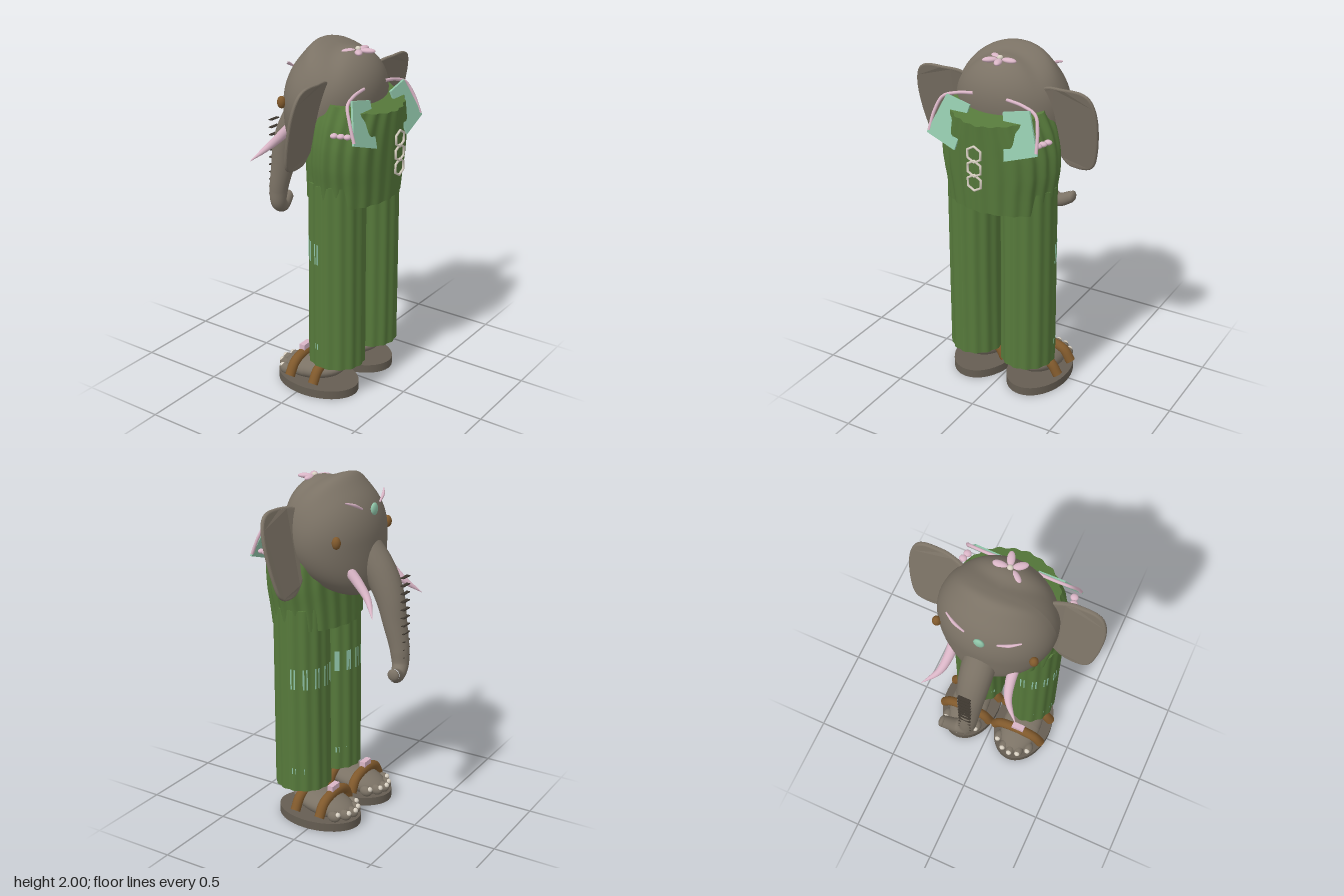
import * as THREE from 'three';

const mat = (name, color, side = THREE.FrontSide) => {
  const m = new THREE.MeshStandardMaterial({ color, side });
  m.name = name;
  return m;
};

export function createModel() {
  const model = new THREE.Group();
  model.name = 'elephantInOveralls';
  const skin = mat('grey skin', 0x7b7265);
  const sole = mat('dark sole', 0x655d52);
  const cloth = mat('green cloth', 0x56793b, THREE.DoubleSide);
  const mint = mat('mint', 0x8fc4a8, THREE.DoubleSide);
  const pink = mat('pink', 0xd9b5c6);
  const leather = mat('brown leather', 0x80592c);
  const cream = mat('cream', 0xd8d0c2);
  const wrinkleDark = mat('dark wrinkle', 0x3d372f);
  const V = (x, y, z) => new THREE.Vector3(x, y, z);

  const add = (name, geo, material, parent = model) => {
    const m = new THREE.Mesh(geo, material);
    m.name = name;
    parent.add(m);
    return m;
  };
  const ball = (name, material, p, r, parent) => {
    const m = add(name, new THREE.SphereGeometry(1, 24, 16), material, parent);
    m.position.set(...p);
    m.scale.set(...r);
    return m;
  };
  // Moves every vertex by a rule and refreshes the normals
  const deform = (geo, rule) => {
    const pos = geo.attributes.position, v = V(0, 0, 0);
    for (let i = 0; i < pos.count; i++) {
      rule(v.fromBufferAttribute(pos, i));
      pos.setXYZ(i, v.x, v.y, v.z);
    }
    geo.computeVertexNormals();
    return geo;
  };
  const lerpList = (list, t) => {
    const f = t * (list.length - 1), i = Math.min(Math.floor(f), list.length - 2);
    return THREE.MathUtils.lerp(list[i], list[i + 1], f - i);
  };
  // Tube along points whose radius follows a list
  const taperedTube = (points, radii, segs = 40, sides = 20) => {
    const curve = new THREE.CatmullRomCurve3(points.map(p => V(...p)));
    const geo = new THREE.TubeGeometry(curve, segs, 1, sides);
    const pos = geo.attributes.position, v = V(0, 0, 0);
    for (let i = 0; i < pos.count; i++) {
      const t = Math.floor(i / (sides + 1)) / segs, c = curve.getPointAt(t);
      v.fromBufferAttribute(pos, i).sub(c).multiplyScalar(lerpList(radii, t)).add(c);
      pos.setXYZ(i, v.x, v.y, v.z);
    }
    return geo;
  };
  const flip = (pts, s) => pts.map(([x, y, z]) => [x * s, y, z]);

  // Head: egg with a forehead crest and a chin pushed forward
  add('head', deform(new THREE.SphereGeometry(1, 64, 48), v => {
    v.set(v.x * 0.325, v.y * 0.33, v.z * 0.26 + 0.025);
    const up = Math.max(0, (v.y - 0.1) / 0.23), zc = v.z - 1.5 * v.x * v.x;
    if (v.y < 0) v.z -= 1.2 * v.y * v.y;
    else if (v.z > 0) v.z *= 1 + 0.7 * v.y;
    v.y += 1.67 + up * (0.025 * Math.exp(-(((zc + 0.07) / 0.05) ** 2)) - 0.022 * Math.exp(-(((zc - 0.06) / 0.05) ** 2)));
  }), skin);
  ball('foreheadGem', mint, [0, 1.825, -0.21], [0.03, 0.035, 0.015]);

  // Trunk with its tip curled sideways
  add('trunk', taperedTube([[0, 1.62, -0.15], [0, 1.48, -0.255], [0, 1.35, -0.315], [0, 1.2, -0.35], [0, 1.06, -0.38],
    [0.01, 0.97, -0.39], [0.06, 0.935, -0.4], [0.14, 0.965, -0.42]],
    [0.09, 0.092, 0.088, 0.08, 0.07, 0.06, 0.052, 0.042, 0.034], 60), skin);
  ball('trunkTip', skin, [0.14, 0.965, -0.42], [0.02, 0.034, 0.034]);
  for (let i = 0; i < 11; i++)
    add('trunkWrinkle', new THREE.BoxGeometry(0.07, 0.005, 0.022), wrinkleDark).position.set(0, 1.48 - i * 0.045, -0.405 - i * 0.001);

  // Flower on the head
  const flower = new THREE.Group();
  flower.name = 'headFlower';
  flower.position.set(0, 1.96, 0.165);
  model.add(flower);
  for (let i = 0; i < 5; i++) {
    const a = 0.3 + (i * Math.PI * 2) / 5;
    ball('petal', pink, [Math.sin(a) * 0.053, 0, -Math.cos(a) * 0.053], [0.021, 0.014, 0.042], flower).rotation.y = -a;
  }
  ball('flowerCentre', cream, [0, 0.008, 0], [0.016, 0.014, 0.016], flower);

  // Pleated shirt, leaning back towards the top
  const shirtWidth = [0.305, 0.318, 0.338, 0.338, 0.315, 0.265];
  add('shirt', deform(new THREE.CylinderGeometry(1, 1, 1, 168, 14), v => {
    const t = v.y + 0.5, a = Math.atan2(v.x, v.z);
    const pleat = 1 + 0.022 * Math.cos(a * 21) + 0.008 * Math.cos(a * 8);
    v.x *= lerpList(shirtWidth, t) * pleat;
    v.z = v.z * (0.222 + 0.012 * t) * pleat + 0.15 + 0.025 * t;
    v.y = THREE.MathUtils.lerp(1.165, 1.735 - 0.24 * (v.z - 0.155), t);
  }), cloth);
  // Chain of rings on the shirt's back
  for (const y of [1.525, 1.445, 1.365]) {
    const ring = add('backRing', new THREE.TorusGeometry(0.045, 0.007, 8, 6), cream);
    ring.position.set(0, y, 0.436);
    ring.rotation.z = Math.PI / 6;
  }

  const earShape = new THREE.Shape();
  earShape.moveTo(0.2, 1.8);
  earShape.splineThru([[0.27, 1.84], [0.37, 1.85], [0.47, 1.845], [0.52, 1.8], [0.54, 1.69], [0.525, 1.52], [0.485, 1.415],
    [0.38, 1.405], [0.32, 1.45], [0.25, 1.54]].map(p => new THREE.Vector2(...p)));
  earShape.lineTo(0.2, 1.8);

  for (const s of [1, -1]) {
    const side = s > 0 ? 'left' : 'right';
    const part = new THREE.Group();
    part.name = side + 'Side';
    model.add(part);

    // Ear: thin flap that leans back at the top
    const earGeo = new THREE.ExtrudeGeometry(earShape, { depth: 0.006, bevelThickness: 0.008, bevelSize: 0.01, bevelSegments: 4, curveSegments: 40 });
    const ear = add('ear', deform(earGeo, v => {
      v.z += 0.055 + (v.y - 1.4) * 0.22 - 0.3 * Math.max(0, 0.36 - v.x) ** 1.2;
    }), skin, part);
    if (s < 0) {
      // Mirror the flap and restore its corner order
      const p = ear.geometry.attributes.position;
      deform(ear.geometry, v => { v.x = -v.x; });
      for (let i = 0; i < p.count; i += 3) {
        const a = V().fromBufferAttribute(p, i), b = V().fromBufferAttribute(p, i + 1);
        p.setXYZ(i, b.x, b.y, b.z);
        p.setXYZ(i + 1, a.x, a.y, a.z);
      }
      ear.geometry.computeVertexNormals();
    }

    // Face details
    ball('eye', leather, [s * 0.27, 1.69, -0.14], [0.024, 0.034, 0.024], part);
    add('eyebrow', taperedTube(flip([[0.09, 1.84, -0.19], [0.15, 1.87, -0.178], [0.205, 1.89, -0.15]], s), [0.005, 0.009, 0.004], 12, 10), pink, part);
    add('tusk', taperedTube(flip([[0.172, 1.53, -0.15], [0.177, 1.46, -0.22], [0.2, 1.39, -0.29], [0.275, 1.31, -0.365]], s),
      [0.03, 0.028, 0.023, 0.014, 0.001], 24, 16), pink, part);

    // Shoulder panel with its pink trim
    const panel = new THREE.Shape([[0.1, 1.735], [0.25, 1.765], [0.335, 1.56], [0.15, 1.5]].map(([x, y]) => new THREE.Vector2(s * x, y)));
    add('shoulderPanel', deform(new THREE.ExtrudeGeometry(panel, { depth: 0.012, bevelEnabled: false }), v => {
      v.z += 0.28 + (1.79 - v.y) * 0.34;
    }), mint, part);
    add('shoulderTrim', taperedTube(flip([[0.1, 1.79, 0.27], [0.2, 1.775, 0.275], [0.28, 1.745, 0.29], [0.312, 1.67, 0.325], [0.325, 1.57, 0.362]], s),
      [0.009, 0.009], 30, 10), pink, part);
    for (const z of [0.24, 0.275, 0.31])
      ball('sideBead', pink, [s * (0.4 - z * 0.3), 1.59, z], [0.022, 0.014, 0.02], part);

    // Trouser leg with long pleats
    add('trouserLeg', deform(new THREE.CylinderGeometry(1, 1, 1.09, 112, 10), v => {
      const a = Math.atan2(v.x, v.z), t = v.y / 1.09 + 0.5;
      const pleat = 1 + 0.025 * Math.cos(a * 14);
      const squeeze = 1 - 0.03 * Math.sin(t * Math.PI);
      const inner = v.x * s < 0 ? squeeze : 1;
      v.x = v.x * 0.153 * pleat * inner + s * 0.167;
      v.z = v.z * 0.157 * pleat * (1.02 - 0.03 * t) + 0.151;
      v.y += 0.74;
    }), cloth, part);
    // Patches showing between the pleats, at the knee and near the hem
    for (let i = 0; i < 6; i++) {
      const a = Math.PI + s * (-1.122 + i * 0.4488) - s * 0.2244 + s * 0.2244 * (i % 1);
      for (const [y, w, h] of [[0.885, 0.028, 0.12], [0.32, 0.024, 0.035]]) {
        const patch = add('trouserPatch', new THREE.BoxGeometry(w, h, 0.008), mint, part);
        patch.position.set(s * 0.167 + Math.sin(a) * 0.152, y, 0.151 + Math.cos(a) * 0.156);
        patch.rotation.y = a;
      }
    }

    // Foot, toes and sandal
    const soleMesh = add('sandalSole', new THREE.CylinderGeometry(1, 1, 0.05, 48), sole, part);
    soleMesh.position.set(s * 0.18, 0.027, 0.029);
    soleMesh.scale.set(0.177, 1, 0.255);
    add('foot', deform(new THREE.SphereGeometry(1, 32, 24), v => {
      v.set(v.x * 0.12 + s * 0.18, v.y * 0.068 + 0.105 + v.z * 0.03, v.z * 0.2);
    }), skin, part);
    for (let i = -2; i <= 2; i++) {
      const x = s * (0.18 + i * 0.051), z = -0.185 + Math.abs(i) ** 2 * 0.014;
      ball('toe', skin, [x, 0.082, z], [0.028, 0.032, 0.04], part);
      ball('toenail', cream, [x, 0.096, z - 0.024], [0.017, 0.016, 0.016], part);
    }
    for (const z of [0.1, -0.063])
      add('sandalStrap', taperedTube(flip([[0.02, 0.08, z], [0.06, 0.145, z], [0.13, 0.17, z], [0.22, 0.17, z], [0.29, 0.145, z], [0.335, 0.08, z]], s),
        [0.029, 0.029], 30, 14), leather, part);
    add('buckle', new THREE.BoxGeometry(0.075, 0.035, 0.035), pink, part).position.set(s * 0.18, 0.21, -0.063);
  }
  return model;
}
